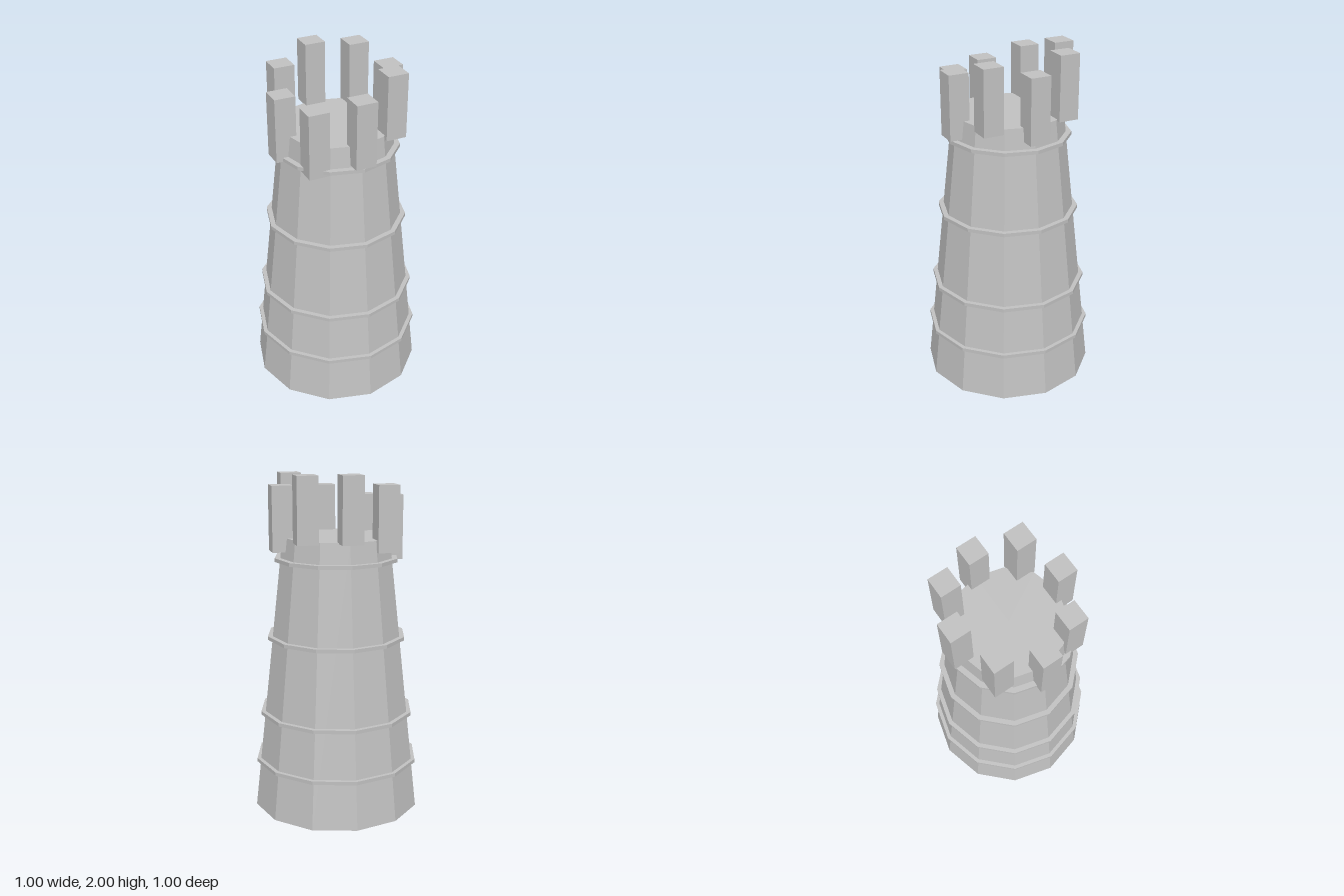
import * as THREE from 'three';

export function createModel() {
  const model = new THREE.Group();
  const stone = new THREE.MeshStandardMaterial({ color: 0xc0c0c0 });
  stone.name = 'stone grey';

  const add = (name, geometry, x, y, z) => {
    // split shared corners so every facet stays flat
    const flat = geometry.toNonIndexed();
    flat.computeVertexNormals();
    const mesh = new THREE.Mesh(flat, stone);
    mesh.name = name;
    mesh.position.set(x, y, z);
    model.add(mesh);
  };

  // Tapered twelve-sided tower
  const height = 1.63;
  add('towerBody', new THREE.CylinderGeometry(0.318, 0.5, height, 12), 0, height / 2, 0);

  // Thin bands around the tower: [centre height, radius]
  [[0.287, 0.49], [0.583, 0.46], [1.041, 0.412], [1.5, 0.364]].forEach(([y, r], i) =>
    add(`band${i + 1}`, new THREE.CylinderGeometry(r, r, 0.021, 12), 0, y, 0));

  // Battlement blocks, counted from the front towards +x, each at its own height
  const tops = [1.9, 1.98, 1.926, 1.995, 2, 1.937, 1.862, 1.847];
  const blockHeight = 0.375;
  tops.forEach((top, i) => {
    const a = (i * Math.PI) / 4;
    add(`battlement${i + 1}`, new THREE.BoxGeometry(0.121, blockHeight, 0.118),
      0.325 * Math.sin(a), top - blockHeight / 2, 0.325 * Math.cos(a));
  });

  return model;
}
